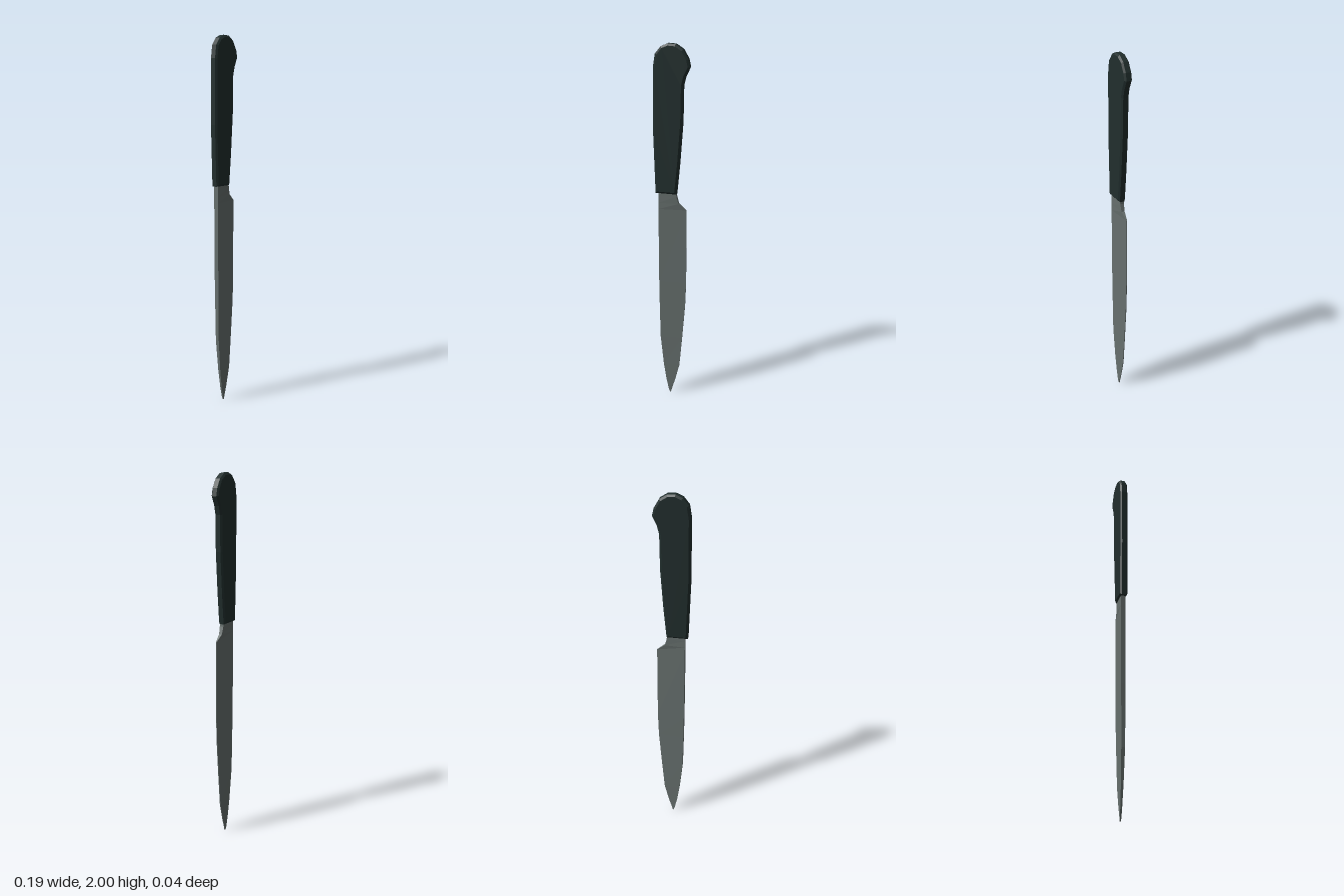
import * as THREE from 'three';

const steel = new THREE.MeshStandardMaterial({ color: 0x67706e });
steel.name = 'steel';
const darkGrip = new THREE.MeshStandardMaterial({ color: 0x212e2d });
darkGrip.name = 'darkGrip';

// Blade sections from neck to tip: y, spine x, edge x, spine half thickness, edge half thickness
const bladeSections = [
  [1.26, -0.072, 0.022, 0.013, 0.012],
  [1.2, -0.072, 0.026, 0.013, 0.011],
  [1.16, -0.072, 0.037, 0.013, 0.009],
  [1.125, -0.072, 0.08, 0.013, 0.002],
  [0.7, -0.07, 0.08, 0.012, 0.002],
  [0.56, -0.068, 0.075, 0.011, 0.002],
  [0.36, -0.064, 0.059, 0.01, 0.002],
  [0.18, -0.046, 0.043, 0.007, 0.002],
  [0.08, -0.031, 0.018, 0.005, 0.002],
  [0.02, -0.018, -0.001, 0.004, 0.002],
  [0, -0.011, -0.006, 0.003, 0.002],
];

// Joins four-cornered wedge sections, listed from top to bottom, into a closed solid
function loftWedge(sections) {
  const positions = [];
  const indices = [];
  for (const [y, spine, edge, s, e] of sections) {
    positions.push(spine, y, s, edge, y, e, edge, y, -e, spine, y, -s);
  }
  for (let r = 0; r < sections.length - 1; r++) {
    for (let i = 0; i < 4; i++) {
      const a = r * 4 + i;
      const b = r * 4 + ((i + 1) % 4);
      indices.push(a, a + 4, b, b, a + 4, b + 4);
    }
  }
  const n = (sections.length - 1) * 4;
  indices.push(0, 1, 2, 0, 2, 3, n, n + 2, n + 1, n, n + 3, n + 2);
  const indexed = new THREE.BufferGeometry();
  indexed.setAttribute('position', new THREE.Float32BufferAttribute(positions, 3));
  indexed.setIndex(indices);
  const geometry = indexed.toNonIndexed();
  geometry.computeVertexNormals();
  return geometry;
}

// Handle outline with a hooked, rounded butt
const handleOutline = [
  [0.026, 1.213], [0.042, 1.38], [0.058, 1.6], [0.061, 1.79], [0.072, 1.835],
  [0.096, 1.885], [0.087, 1.925], [0.06, 1.972], [0.022, 1.997], [-0.02, 2],
  [-0.056, 1.985], [-0.086, 1.948], [-0.097, 1.88], [-0.098, 1.54], [-0.087, 1.215],
];

function createHandle() {
  const shape = new THREE.Shape(handleOutline.map(([x, y]) => new THREE.Vector2(x, y)));
  const geometry = new THREE.ExtrudeGeometry(shape, {
    depth: 0.026,
    bevelEnabled: true,
    bevelThickness: 0.008,
    bevelSize: 0.01,
    bevelOffset: -0.01,
    bevelSegments: 1,
  });
  geometry.translate(0, 0, -0.013);
  return geometry;
}

export function createModel() {
  const model = new THREE.Group();
  model.name = 'knife';

  const blade = new THREE.Mesh(loftWedge(bladeSections), steel);
  blade.name = 'blade';

  const handle = new THREE.Mesh(createHandle(), darkGrip);
  handle.name = 'handle';

  model.add(blade, handle);
  return model;
}
